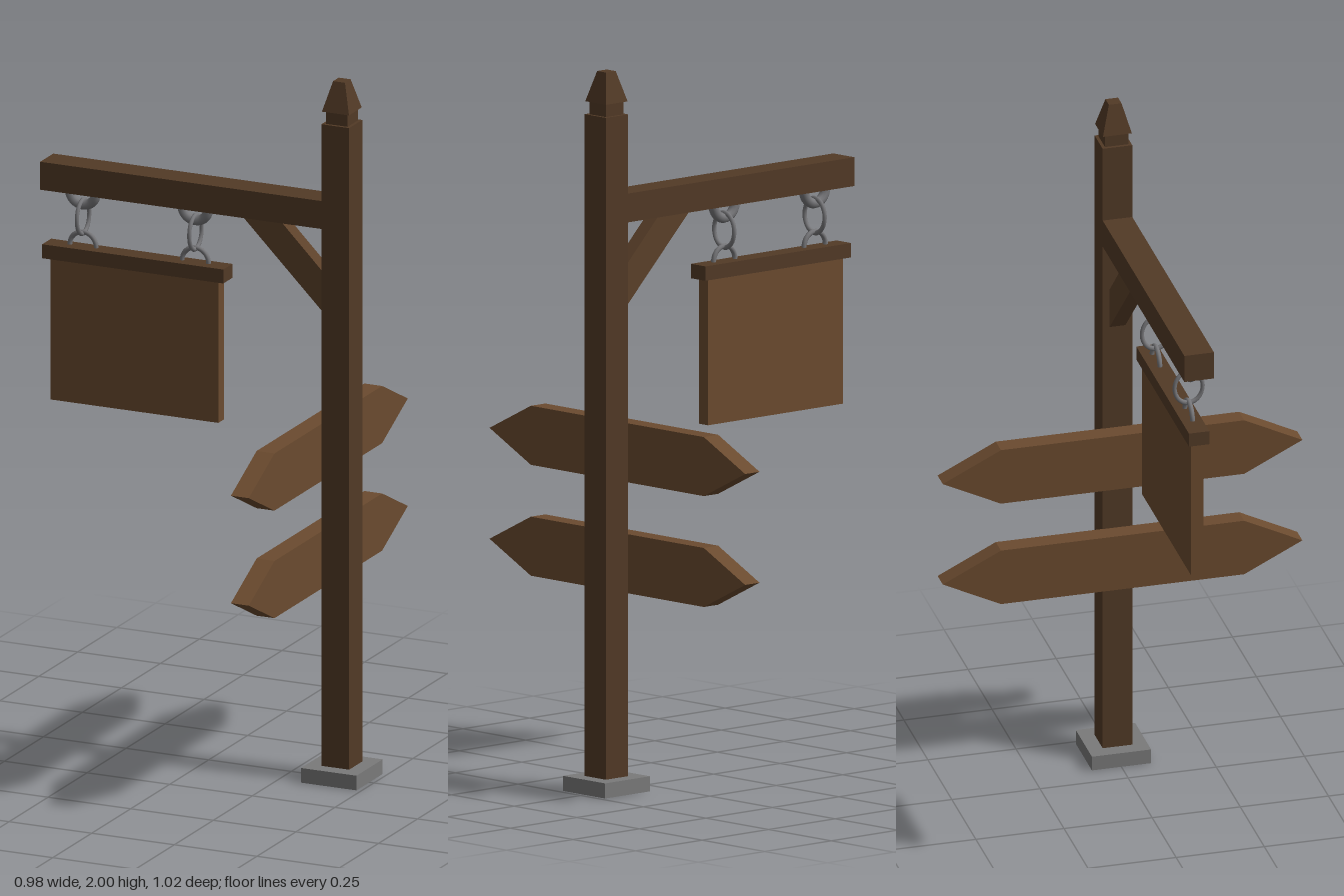
import * as THREE from 'three';

const mat = (color) => new THREE.MeshStandardMaterial({ color });

export function createModel() {
  const group = new THREE.Group();
  const darkWood = mat(0x523a26), braceWood = mat(0x5c412a), boardWood = mat(0x6b4b2f);
  const stone = mat(0x7a7a7a), iron = mat(0x77777a);
  darkWood.flatShading = braceWood.flatShading = boardWood.flatShading = true;
  const postX = 0.403;

  const add = (name, geometry, material, x = 0, y = 0, z = 0, parent = group) => {
    const mesh = new THREE.Mesh(geometry, material);
    mesh.name = name;
    mesh.position.set(x, y, z);
    parent.add(mesh);
    return mesh;
  };
  // Box given by its x and y limits, centred on z = 0
  const box = (name, x0, x1, y0, y1, depth, material) =>
    add(name, new THREE.BoxGeometry(x1 - x0, y1 - y0, depth), material, (x0 + x1) / 2, (y0 + y1) / 2);
  // Flat outline extruded symmetrically about z = 0
  const slab = (points, depth) => new THREE.ExtrudeGeometry(
    new THREE.Shape(points.map(([x, y]) => new THREE.Vector2(x, y))),
    { depth, bevelEnabled: false }).translate(0, 0, -depth / 2);

  // Post with its footing, neck and tapered cap
  box('footing', postX - 0.084, postX + 0.084, 0, 0.042, 0.168, stone);
  box('post', postX - 0.042, postX + 0.042, -0.0005, 1.88, 0.084, darkWood);
  box('neck', postX - 0.033, postX + 0.033, 1.88, 1.92, 0.066, darkWood);
  const cap = new THREE.CylinderGeometry(0.018 * Math.SQRT2, 0.041 * Math.SQRT2, 0.084, 4).rotateY(Math.PI / 4);
  add('postCap', cap, darkWood, postX, 1.958);

  // Overhead arm and diagonal brace
  box('arm', -0.49, 0.362, 1.58, 1.66, 0.084, darkWood);
  add('brace', slab([[0.11, 1.581], [0.362, 1.33], [0.362, 1.445], [0.227, 1.581]], 0.045), braceWood);

  // Hanging board with top rail
  box('hangingBoard', -0.47, 0.038, 0.975, 1.381, 0.036, boardWood);
  box('boardRail', -0.49, 0.058, 1.38, 1.42, 0.058, darkWood);

  // Hook, link and eye on each hanging point
  for (const x of [-0.38, -0.04]) {
    const hanger = new THREE.Group();
    hanger.name = 'hanger';
    hanger.position.x = x;
    group.add(hanger);
    add('hook', new THREE.TorusGeometry(0.04, 0.014, 10, 20, Math.PI).rotateZ(Math.PI), iron, 0, 1.58, 0, hanger);
    const link = add('link', new THREE.TorusGeometry(0.04, 0.006, 8, 28).rotateY(Math.PI / 2), iron, 0, 1.506, 0, hanger);
    link.scale.y = 1.2;
    add('eye', new THREE.TorusGeometry(0.04, 0.007, 8, 20, Math.PI), iron, 0, 1.422, 0, hanger);
  }

  // Two double-pointed direction boards on the side of the post
  const arrow = [[-0.51, 0], [-0.345, -0.082], [0.345, -0.082], [0.51, 0], [0.345, 0.082], [-0.345, 0.082]];
  for (const y of [0.632, 0.94]) {
    add('directionBoard', slab(arrow, 0.054).rotateY(Math.PI / 2), boardWood, 0.335, y);
  }

  return group;
}
